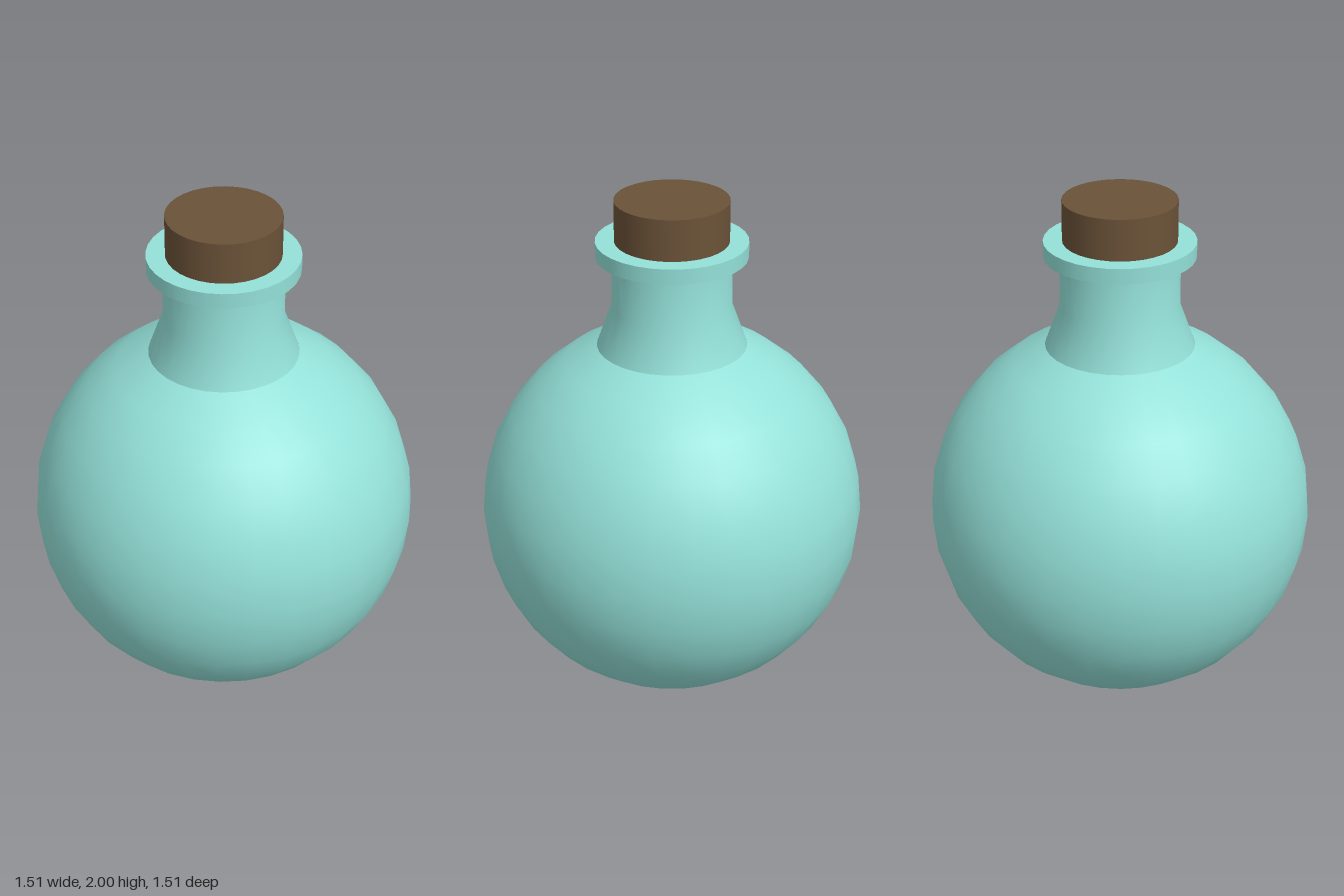
import * as THREE from 'three';

const SIDES = 32;

export function createModel() {
  const group = new THREE.Group();
  const glass = new THREE.MeshStandardMaterial({ color: 0x93e0d8 });
  const corkBrown = new THREE.MeshStandardMaterial({ color: 0x6b5238 });

  const add = (name, geometry, material, y = 0) => {
    const mesh = new THREE.Mesh(geometry, material);
    mesh.name = name;
    mesh.position.y = y;
    group.add(mesh);
  };
  const lathe = (points) =>
    new THREE.LatheGeometry(points.map(([r, y]) => new THREE.Vector2(r, y)), SIDES);
  const disc = (radius, height) => new THREE.CylinderGeometry(radius, radius, height, SIDES);

  // Round body: sphere rings, cut open at the neck and flattened at the foot
  const radius = 0.755, centre = 0.72, rings = [];
  for (let k = -6; k <= 6; k++) {
    const a = (k * Math.PI) / 16;
    rings.push([radius * Math.cos(a), k === -6 ? 0 : centre + radius * Math.sin(a)]);
  }
  add('body', lathe(rings), glass);

  // Flat underside
  const base = new THREE.CircleGeometry(rings[0][0], SIDES);
  base.rotateX(Math.PI / 2);
  add('base', base, glass);

  // Flared neck and the rim around its mouth
  add('neck', lathe([[0.289, 1.415], [0.23, 1.58], [0.228, 1.79]]), glass);
  add('rim', disc(0.289, 0.06), glass, 1.81);

  // Stopper
  add('cork', disc(0.217, 0.2), corkBrown, 1.9);

  return group;
}
